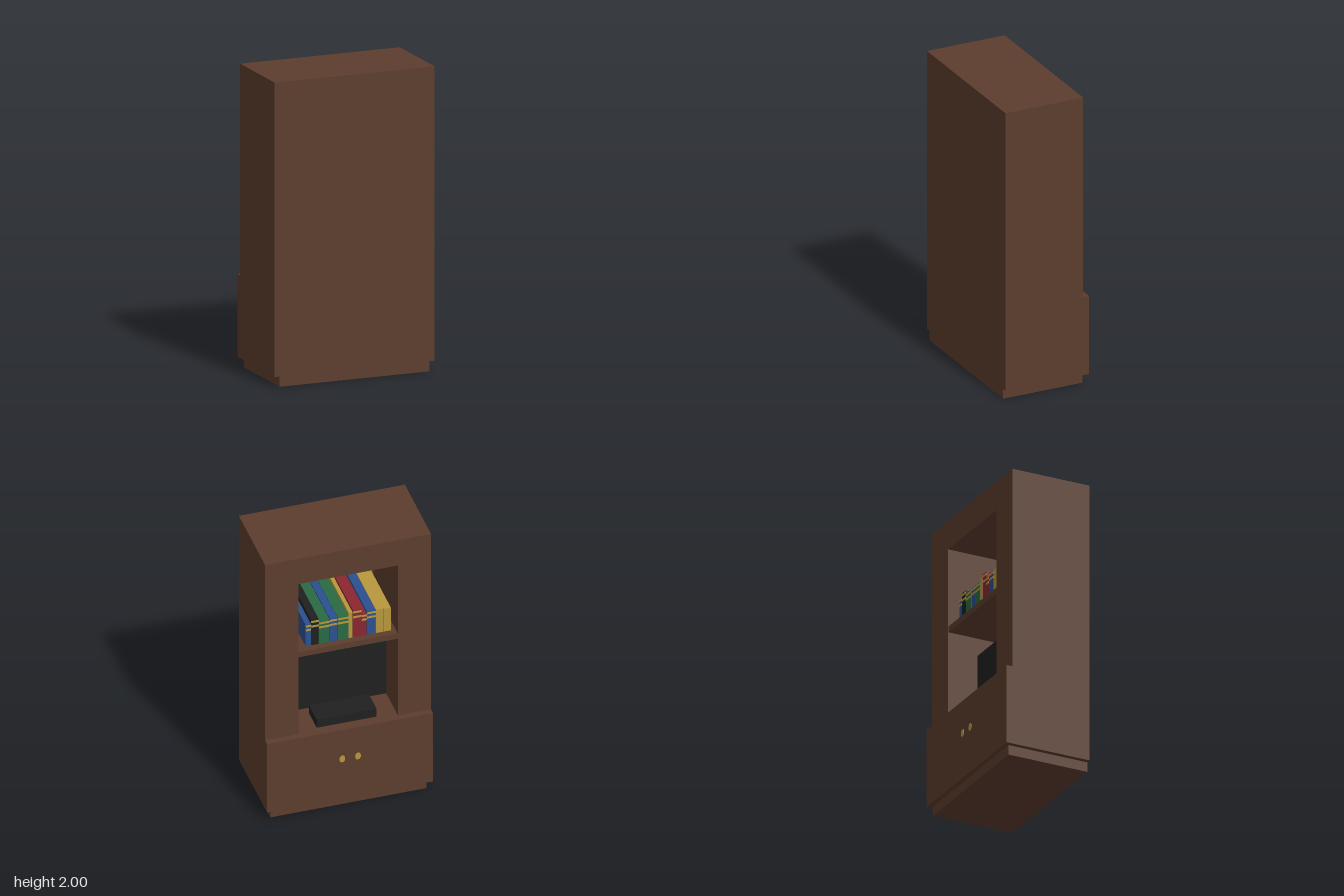
import * as THREE from 'three';

const mat = (name, color) => {
  const m = new THREE.MeshStandardMaterial({ color });
  m.name = name;
  return m;
};

export function createModel() {
  const root = new THREE.Group();
  root.name = 'mediaCabinet';
  const wood = mat('walnut wood', 0x5c3d2e);
  const black = mat('black', 0x202020);
  const blue = mat('blue cover', 0x2b5090);
  const green = mat('green cover', 0x2a6a42);
  const red = mat('red cover', 0x8a2630);
  const gold = mat('gold', 0xb8983c);

  const add = (parent, name, geometry, material) => {
    const mesh = new THREE.Mesh(geometry, material);
    mesh.name = name;
    parent.add(mesh);
    return mesh;
  };
  // Box given by its low and high limits on each axis
  const box = (parent, name, material, x0, x1, y0, y1, z0, z1) => {
    const g = new THREE.BoxGeometry(x1 - x0, y1 - y0, z1 - z0);
    g.translate((x0 + x1) / 2, (y0 + y1) / 2, (z0 + z1) / 2);
    return add(parent, name, g, material);
  };

  const W = 0.555, H = 2, IN = 0.333, FLOOR = 0.61, BACK = 0.257;

  // Plinth and lower cupboard
  box(root, 'plinth', wood, -0.522, 0.522, 0, 0.067, -0.266, 0.3);
  box(root, 'lowerCupboard', wood, -W, W, 0.067, FLOOR, -0.297, 0.3);

  // Upper surround: an arch of solid wood around the open niche
  const arch = new THREE.Shape([
    [-W, FLOOR], [-IN, FLOOR], [-IN, 1.8], [IN, 1.8],
    [IN, FLOOR], [W, FLOOR], [W, H], [-W, H],
  ].map(([x, y]) => new THREE.Vector2(x, y)));
  const surround = new THREE.ExtrudeGeometry(arch, { depth: 0.555, bevelEnabled: false });
  surround.translate(0, 0, -0.255);
  add(root, 'upperSurround', surround, wood);
  box(root, 'nichePanel', wood, -IN, IN, FLOOR, 1.8, BACK, 0.3);
  box(root, 'shelf', wood, -IN, IN, 1.217, 1.259, -0.252, BACK);

  // Cupboard knobs: flat oval plates
  for (const x of [-0.052, 0.052]) {
    const g = new THREE.CylinderGeometry(0.02, 0.02, 0.004, 8);
    g.rotateY(Math.PI / 8);
    g.rotateX(Math.PI / 2);
    g.scale(1, 1.35, 1);
    g.translate(x, 0.382, -0.298);
    add(root, 'knob', g, gold);
  }

  // Television and the player box in front of it
  box(root, 'televisionScreen', black, -0.322, 0.322, 0.645, 1.09, -0.05, 0);
  box(root, 'televisionFoot', black, -0.1, 0.1, FLOOR, 0.645, -0.06, 0.02);
  box(root, 'playerBox', black, -0.2, 0.2, FLOOR, 0.673, -0.225, -0.06);

  // Row of books: right-hand x limit, height and cover
  const books = new THREE.Group();
  books.name = 'books';
  root.add(books);
  const row = [
    [0.233, 0.17, blue], [0.181, 0.2, black], [0.107, 0.175, green],
    [0.055, 0.18, blue], [-0.018, 0.18, green], [-0.046, 0.2, gold],
    [-0.105, 0.215, red], [-0.14, 0.17, red], [-0.2, 0.185, blue],
    [-0.25, 0.185, gold], [-0.302, 0.18, gold],
  ];
  let edge = 0.27;
  const y = 1.259, spine = -0.207;
  for (const [x, h, cover] of row) {
    box(books, 'book', cover, x + 0.001, edge - 0.001, y, y + h, spine, BACK - 0.002);
    // Gold bands on the spine
    if (cover !== gold) {
      for (const f of [0.74, 0.92]) {
        box(books, 'spineBand', gold, x + 0.001, edge - 0.001,
          y + f * h - 0.007, y + f * h + 0.007, spine - 0.003, spine);
      }
    }
    edge = x;
  }
  return root;
}
